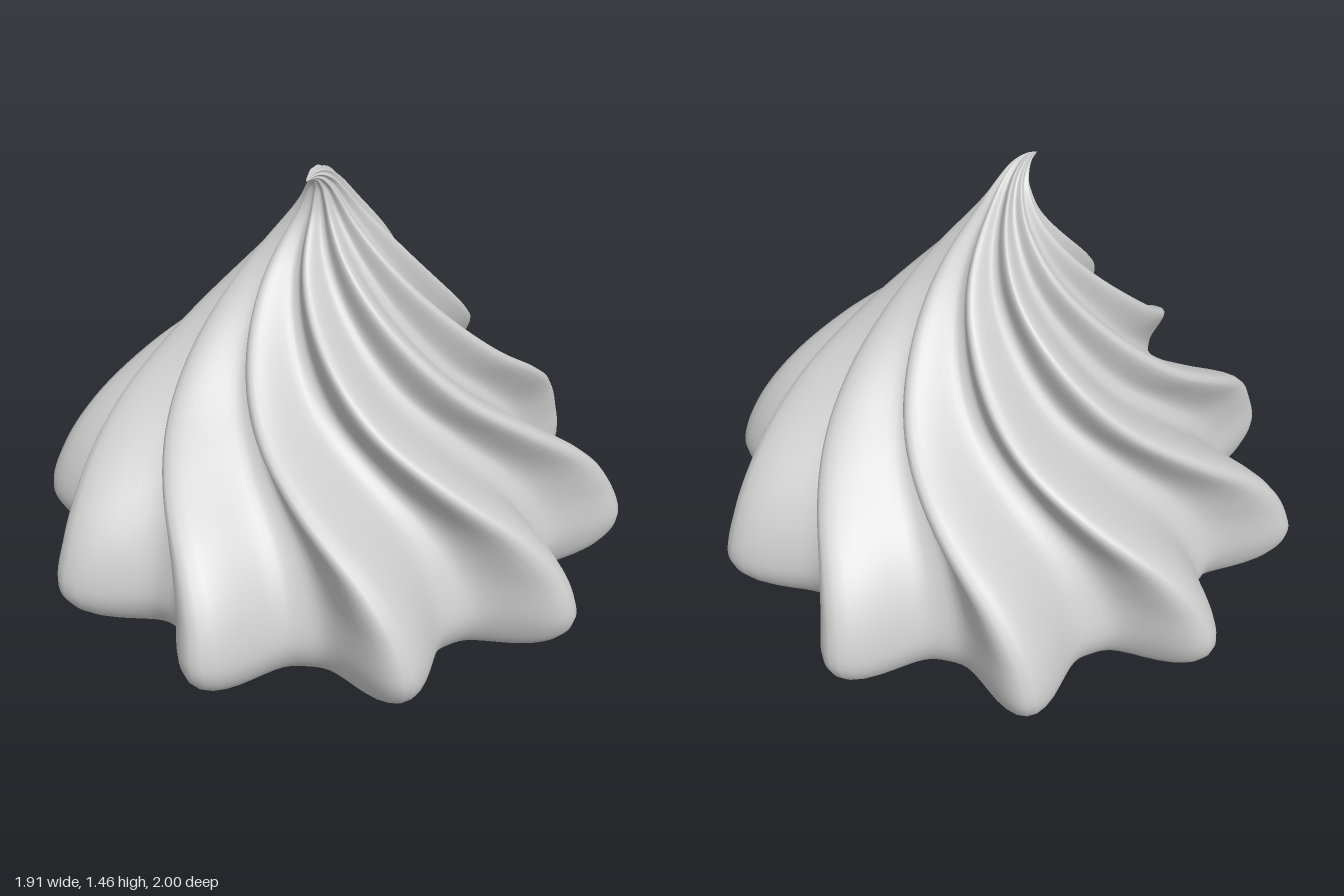
import * as THREE from 'three';

const RIDGES = 10, AROUND = 200, ROWS = 110;

// Stations from the bottom centre to the curled tip:
// [spine z, spine y, ridge radius, tilt towards the front, twist (degrees), valley / ridge ratio]
const STATIONS = [
  [0, 0, 0, 0, 0, 0.95],
  [0, 0, 0.4, 0, 0, 0.92],
  [0, 0.025, 0.72, 0, 0, 0.87],
  [0, 0.075, 0.91, 0, 0, 0.81],
  [0, 0.19, 1.0, 0, 0, 0.78],
  [0, 0.35, 0.955, 0, 2, 0.76],
  [0, 0.5, 0.86, 0, 8, 0.74],
  [0, 0.65, 0.72, 0, 20, 0.72],
  [0, 0.8, 0.56, 0, 35, 0.71],
  [0, 1.0, 0.37, 0, 53, 0.71],
  [0, 1.17, 0.22, 2, 69, 0.72],
  [0.015, 1.3, 0.11, 10, 80, 0.74],
  [0.045, 1.385, 0.056, 28, 86, 0.76],
  [0.085, 1.425, 0.032, 60, 88, 0.78],
  [0.13, 1.44, 0.015, 85, 88, 0.8],
  [0.18, 1.436, 0.001, 100, 88, 0.85],
];

const curveOf = (from) => new THREE.CatmullRomCurve3(
  STATIONS.map((s) => new THREE.Vector3(s[from], s[from + 1], s[from + 2])), false, 'catmullrom', 0.5);

// Star-shaped, twisted cross-sections lofted along the spine
function swirlGeometry() {
  const spine = curveOf(0), form = curveOf(3);
  const positions = [], index = [];
  for (let i = 0; i <= ROWS; i++) {
    const { x: z, y, z: radius } = spine.getPoint(i / ROWS);
    const { x: tilt, y: twist, z: valley } = form.getPoint(i / ROWS);
    const lean = THREE.MathUtils.degToRad(tilt);
    for (let j = 0; j < AROUND; j++) {
      const a = (j / AROUND) * Math.PI * 2;
      // narrow ridge crests with broad rounded valleys
      const crest = Math.pow((1 + Math.cos(RIDGES * a)) / 2, 1.55);
      const r = Math.max(radius, 0) * (valley + (1 - valley) * crest);
      const angle = a + Math.PI / 2 + THREE.MathUtils.degToRad(twist);
      const across = r * Math.sin(angle);
      positions.push(
        r * Math.cos(angle),
        Math.max(0, y - across * Math.sin(lean)),
        z + across * Math.cos(lean));
      if (i < ROWS) {
        const p = i * AROUND + j, q = i * AROUND + (j + 1) % AROUND;
        index.push(p, p + AROUND, q, q, p + AROUND, q + AROUND);
      }
    }
  }
  const geometry = new THREE.BufferGeometry();
  geometry.setAttribute('position', new THREE.Float32BufferAttribute(positions, 3));
  geometry.setIndex(index);
  geometry.computeVertexNormals();
  return geometry;
}

export function createModel() {
  const group = new THREE.Group();
  group.name = 'meringue';
  const swirl = new THREE.Mesh(swirlGeometry(), new THREE.MeshStandardMaterial({ color: 0xcccccc }));
  swirl.name = 'pipedSwirl';
  group.add(swirl);
  return group;
}
